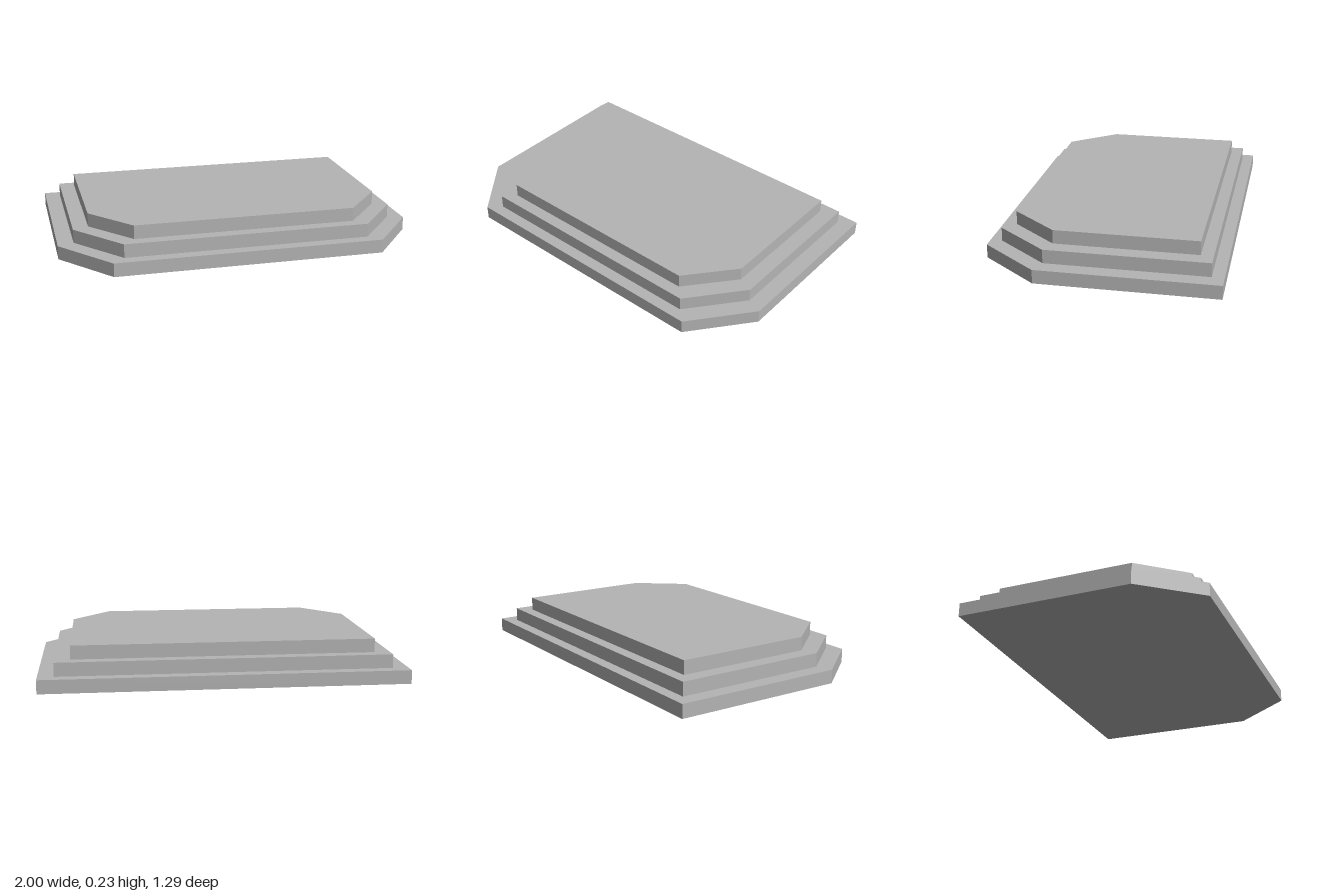
import * as THREE from 'three';

const stone = new THREE.MeshStandardMaterial({ color: 0xb4b4b4 });
stone.name = 'grey stone';

const STEP_HEIGHT = 0.0755;

// One slab: a rectangle whose two front corners are cut off.
function createStep(halfWidth, halfDepth, frontHalfWidth) {
  const outline = new THREE.Shape([
    new THREE.Vector2(-frontHalfWidth, -halfDepth),
    new THREE.Vector2(frontHalfWidth, -halfDepth),
    new THREE.Vector2(halfWidth, -halfDepth / 2),
    new THREE.Vector2(halfWidth, halfDepth),
    new THREE.Vector2(-halfWidth, halfDepth),
    new THREE.Vector2(-halfWidth, -halfDepth / 2),
  ]);
  const geometry = new THREE.ExtrudeGeometry(outline, { depth: STEP_HEIGHT, bevelEnabled: false });
  geometry.rotateX(-Math.PI / 2); // lay flat, front edge towards +z
  return new THREE.Mesh(geometry, stone);
}

export function createModel() {
  const model = new THREE.Group();
  model.name = 'steppedPlatform';

  // Stacked steps, bottom to top: half width, half depth, half width of front edge
  const steps = [
    ['lowerStep', 1, 0.645, 0.741],
    ['middleStep', 0.912, 0.58, 0.676],
    ['upperStep', 0.826, 0.513, 0.612],
  ];
  steps.forEach(([name, ...size], i) => {
    const step = createStep(...size);
    step.name = name;
    step.position.y = i * STEP_HEIGHT;
    model.add(step);
  });
  return model;
}
